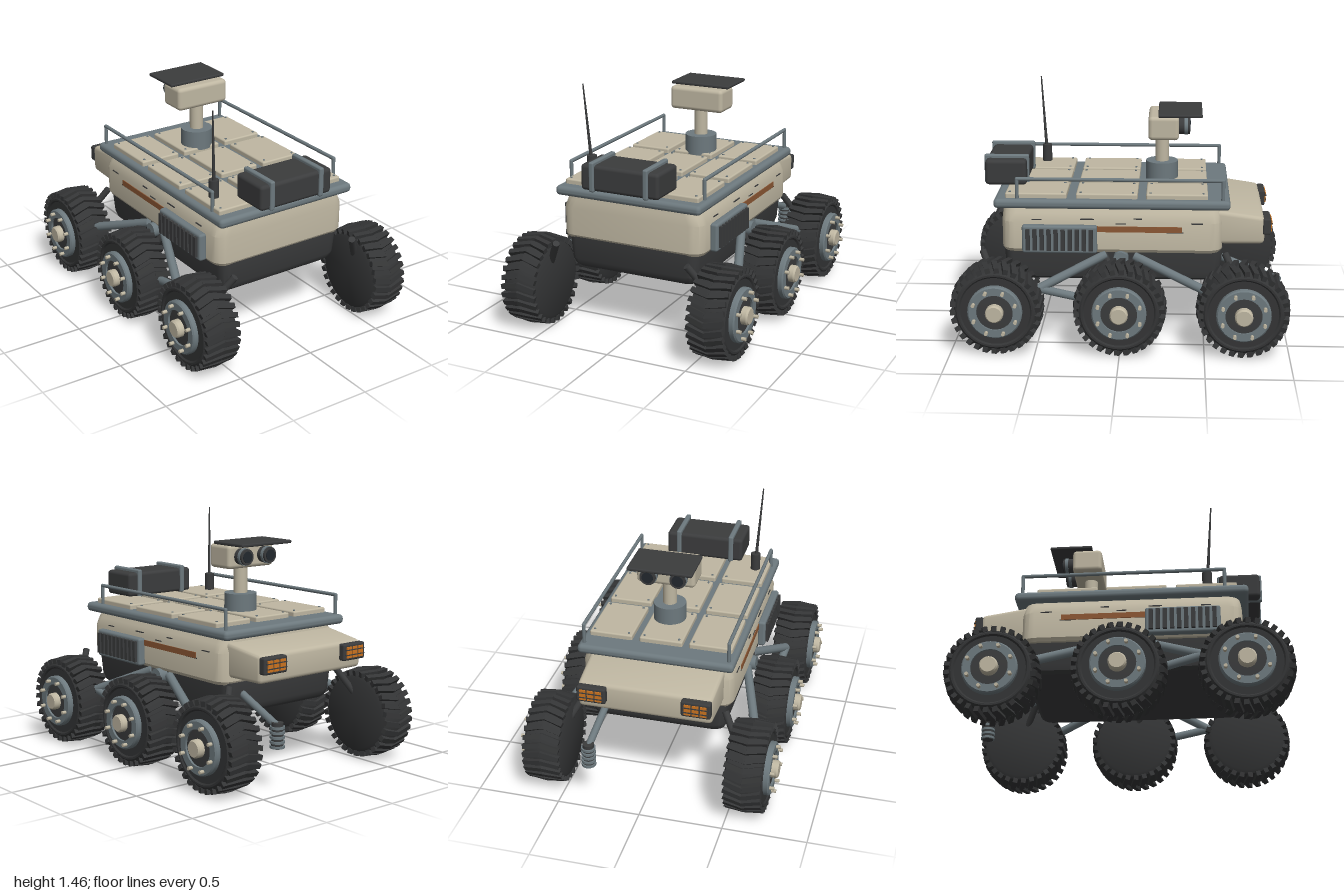
import * as THREE from 'three';
import { mergeGeometries, toCreasedNormals } from 'three/addons/utils/BufferGeometryUtils.js';
import { RoundedBoxGeometry } from 'three/addons/geometries/RoundedBoxGeometry.js';

const paint = (name, color) => Object.assign(new THREE.MeshStandardMaterial({ color }), { name });
const M = {
  shell: paint('warm shell', 0xbfb7a2),
  metal: paint('grey metal', 0x6d797e),
  dark: paint('dark plastic', 0x3b3c3d),
  rubber: paint('tyre rubber', 0x343536),
  rust: paint('rust stripe', 0x8c5734),
  amber: paint('amber lamp', 0xcc7420),
  lens: paint('lens glass', 0x22282e),
};
const V = (x, y, z) => new THREE.Vector3(x, y, z);

function add(parent, name, geo, mat, x = 0, y = 0, z = 0) {
  const m = new THREE.Mesh(geo, mat);
  m.name = name;
  m.position.set(x, y, z);
  parent.add(m);
  return m;
}
const box = (w, h, d) => new THREE.BoxGeometry(w, h, d);
const soft = (w, h, d, r) => new RoundedBoxGeometry(w, h, d, 2, r);
const cyl = (r1, r2, h, n = 20) => new THREE.CylinderGeometry(r1, r2, h, n);

// Round bar between two points, tapering from ra to rb
function bar(parent, name, a, b, ra, mat, rb = ra, n = 10) {
  const d = b.clone().sub(a);
  const m = add(parent, name, cyl(rb, ra, d.length(), n), mat);
  m.position.copy(a).addScaledVector(d, 0.5);
  m.quaternion.setFromUnitVectors(V(0, 1, 0), d.normalize());
  return m;
}

// Stack of rounded rectangles: each level is [y, halfX, halfZ, cornerRadius]
function loft(levels) {
  const pos = [], idx = [], steps = 4, n = 4 * (steps + 1);
  for (const [y, hx, hz, r] of levels)
    for (let q = 0; q < 4; q++)
      for (let s = 0; s <= steps; s++) {
        const a = (q + s / steps) * Math.PI / 2;
        const sx = q === 0 || q === 3 ? 1 : -1, sz = q < 2 ? 1 : -1;
        pos.push(sx * (hx - r) + r * Math.cos(a), y, sz * (hz - r) + r * Math.sin(a));
      }
  for (let l = 0; l < levels.length - 1; l++)
    for (let i = 0; i < n; i++) {
      const a = l * n + i, b = l * n + (i + 1) % n;
      idx.push(a, a + n, b, b, a + n, b + n);
    }
  const top = (levels.length - 1) * n;
  for (let i = 1; i < n - 1; i++) idx.push(0, i, i + 1, top, top + i + 1, top + i);
  const g = new THREE.BufferGeometry();
  g.setAttribute('position', new THREE.Float32BufferAttribute(pos, 3));
  g.setIndex(idx);
  return toCreasedNormals(g, 0.5);
}

// Turned shape around the x axis, from [radius, x] points
const turned = (pts, n = 40) => toCreasedNormals(
  new THREE.LatheGeometry(pts.map(p => new THREE.Vector2(...p)), n).rotateZ(-Math.PI / 2), 0.5);

function makeWheel() {
  const w = new THREE.Group();
  add(w, 'tyre', turned([[0, -0.112], [0.215, -0.112], [0.24, -0.1], [0.254, -0.04], [0.257, 0], [0.254, 0.04],
    [0.24, 0.1], [0.225, 0.112], [0.214, 0.112], [0.205, 0.104], [0, 0.104]]), M.rubber);
  // Chevron tread lugs
  const lugs = [], count = 30;
  for (let i = 0; i < count; i++)
    for (const s of [-1, 1]) {
      const g = box(0.118, 0.032, 0.03);
      g.rotateY(s * 0.24).rotateZ(-s * 0.1).translate(s * 0.053, 0.255, 0);
      lugs.push(g.rotateX(i / count * Math.PI * 2));
    }
  add(w, 'treadLugs', mergeGeometries(lugs), M.rubber);
  add(w, 'rimRing', turned([[0.107, 0.1], [0.16, 0.1], [0.16, 0.13], [0.152, 0.138], [0.107, 0.138], [0.107, 0.1]]), M.metal);
  add(w, 'hubDisc', turned([[0, 0.1], [0.107, 0.1], [0.107, 0.125], [0, 0.13]]), M.dark);
  add(w, 'hubCap', turned([[0, 0.1], [0.053, 0.1], [0.053, 0.16], [0.045, 0.17], [0, 0.17]], 24), M.shell);
  const bolts = [];
  for (let i = 0; i < 8; i++)
    bolts.push(cyl(0.011, 0.011, 0.03, 8).rotateZ(-Math.PI / 2).translate(0.15, 0.132, 0).rotateX((i + 0.5) * Math.PI / 4));
  add(w, 'hubBolts', mergeGeometries(bolts), M.shell);
  return w;
}

export function createModel() {
  const root = new THREE.Group();
  root.name = 'rover';

  // Hull and deck
  add(root, 'lowerHull', loft([[0.368, 0.385, 0.61, 0.05], [0.385, 0.405, 0.63, 0.06], [0.42, 0.415, 0.645, 0.06],
    [0.565, 0.425, 0.655, 0.06]]), M.dark, 0, 0, 0.05);
  add(root, 'upperHull', loft([[0.555, 0.445, 0.645, 0.07], [0.575, 0.458, 0.657, 0.08], [0.74, 0.458, 0.657, 0.08],
    [0.79, 0.438, 0.652, 0.08], [0.835, 0.41, 0.645, 0.08]]), M.shell, 0, 0, 0.055);
  add(root, 'deckRim', soft(0.94, 0.058, 1.4, 0.025), M.metal, 0, 0.851, 0.055);
  for (const x of [-0.305, -0.005, 0.3])
    for (const z of [-0.33, 0.085, 0.505]) {
      add(root, 'deckPanel', soft(0.26, 0.04, 0.365, 0.01), M.shell, x, 0.89, z);
      for (const sx of [-1, 1]) for (const sz of [-1, 1])
        add(root, 'panelScrew', cyl(0.007, 0.007, 0.006, 8), M.metal, x + sx * 0.105, 0.912, z + sz * 0.155);
    }

  // Sloping nose with lamps
  const nose = soft(0.82, 0.2, 0.35, 0.025), p = nose.attributes.position;
  for (let i = 0; i < p.count; i++) {
    const t = (0.175 - p.getZ(i)) / 0.35;
    if (p.getY(i) > 0) p.setY(i, p.getY(i) + 0.015 - 0.05 * t);
    p.setX(i, p.getX(i) * (1 - 0.03 * t));
  }
  nose.computeVertexNormals();
  add(root, 'nose', toCreasedNormals(nose, 0.6), M.shell, 0, 0.7, -0.677);
  for (const s of [-1, 1]) {
    const lamp = new THREE.Group();
    lamp.name = 'headLamp';
    lamp.position.set(s * 0.31, 0.708, -0.865);
    root.add(lamp);
    add(lamp, 'lampHousing', soft(0.175, 0.1, 0.05, 0.012), M.dark);
    for (const i of [-1, 0, 1]) add(lamp, 'lampGlass', box(0.038, 0.066, 0.009), M.amber, i * 0.047, 0, -0.027);
    for (const y of [-0.015, 0.015]) add(lamp, 'lampGuard', box(0.15, 0.006, 0.008), M.dark, 0, y, -0.031);
  }

  // Side rails, vents, stripes and suspension, mirrored
  for (const s of [-1, 1]) {
    const pts = [V(s * 0.435, 0.87, 0.615), V(s * 0.435, 0.998, 0.615), V(s * 0.435, 0.998, -0.6), V(s * 0.435, 0.87, -0.6)];
    for (let i = 0; i < 3; i++) bar(root, 'sideRail', pts[i], pts[i + 1], 0.011, M.metal);
    for (const c of [pts[1], pts[2]]) add(root, 'railCorner', new THREE.SphereGeometry(0.011, 10, 8), M.metal, c.x, c.y, c.z);

    add(root, 'ventFrame', soft(0.05, 0.17, 0.445, 0.015), M.metal, s * 0.477, 0.645, 0.362);
    for (let i = 0; i < 10; i++)
      add(root, 'ventSlat', box(0.024, 0.128, 0.025), M.dark, s * 0.507, 0.647, 0.175 + i * 0.0415);
    add(root, 'sideStripe', box(0.008, 0.035, 0.5), M.rust, s * 0.459, 0.702, -0.11);
    for (const [y, z, l] of [[0.76, 0.2, 0.08], [0.685, -0.32, 0.1], [0.735, 0.0, 0.06], [0.765, -0.1, 0.05], [0.74, -0.45, 0.07], [0.755, 0.5, 0.06]])
      add(root, 'scuffMark', box(0.006, 0.006, l), M.dark, s * (y > 0.74 ? 0.453 : 0.458), y, z);

    // Rocker arms
    const pivot = V(s * 0.44, 0.53, -0.08), rear = V(s * 0.585, 0.37, 0.48);
    bar(root, 'frontRockerArm', pivot, V(s * 0.61, 0.34, -0.58), 0.027, M.metal);
    bar(root, 'rearRockerArm', V(s * 0.44, 0.54, 0.09), rear, 0.027, M.metal);
    bar(root, 'bogieArm', rear, V(s * 0.55, 0.27, 0.08), 0.025, M.metal);
    add(root, 'rockerPivot', cyl(0.045, 0.045, 0.1).rotateZ(Math.PI / 2), M.metal, s * 0.43, 0.52, 0);

    for (const z of [-0.724, 0, 0.724]) {
      const w = makeWheel();
      w.name = 'wheel';
      w.position.set(s * 0.605, 0.271, z);
      if (s < 0) w.rotation.y = Math.PI;
      root.add(w);
      bar(root, 'wheelStrut', V(s * 0.51, 0.4, z + 0.03), V(s * 0.425, 0.55, z + 0.105), 0.021, M.dark);
    }
  }

  // Sampling arm with ribbed drill
  bar(root, 'samplingArm', V(0.3, 0.5, -0.57), V(0.325, 0.37, -0.915), 0.022, M.metal);
  add(root, 'drillBody', cyl(0.034, 0.034, 0.15), M.dark, 0.325, 0.315, -0.92);
  for (let i = 0; i < 5; i++) add(root, 'drillRib', cyl(0.043, 0.043, 0.014), M.metal, 0.325, 0.25 + i * 0.028, -0.92);

  // Cargo case with straps
  add(root, 'cargoCase', soft(0.5, 0.155, 0.25, 0.022), M.dark, 0, 0.983, 0.705);
  for (const x of [-0.175, 0.17]) add(root, 'cargoStrap', soft(0.032, 0.178, 0.272, 0.01), M.metal, x, 0.991, 0.705);

  // Whip antenna
  add(root, 'antennaBase', cyl(0.03, 0.03, 0.115), M.dark, -0.355, 0.96, 0.51);
  bar(root, 'antennaWhip', V(-0.358, 1.01, 0.515), V(-0.385, 1.455, 0.545), 0.01, M.dark, 0.004);

  // Camera mast
  const mast = new THREE.Group();
  mast.name = 'cameraMast';
  mast.position.set(0.012, 0, -0.235);
  root.add(mast);
  add(mast, 'mastBase', cyl(0.098, 0.098, 0.12, 28), M.metal, 0, 0.955, 0);
  add(mast, 'mastPost', cyl(0.042, 0.042, 0.2), M.shell, 0, 1.1, 0);
  add(mast, 'cameraHead', soft(0.355, 0.145, 0.185, 0.025), M.shell, 0, 1.248, -0.01);
  add(mast, 'sunShade', soft(0.39, 0.02, 0.265, 0.008), M.dark, 0, 1.33, -0.11);
  for (const x of [-0.09, 0.09]) {
    add(mast, 'lensBarrel', cyl(0.048, 0.048, 0.075, 24).rotateX(Math.PI / 2), M.dark, x, 1.25, -0.13);
    add(mast, 'lensRing', cyl(0.052, 0.052, 0.02, 24).rotateX(Math.PI / 2), M.metal, x, 1.25, -0.145);
    add(mast, 'lensGlass', cyl(0.034, 0.034, 0.008, 24).rotateX(Math.PI / 2), M.lens, x, 1.25, -0.168);
  }
  return root;
}
